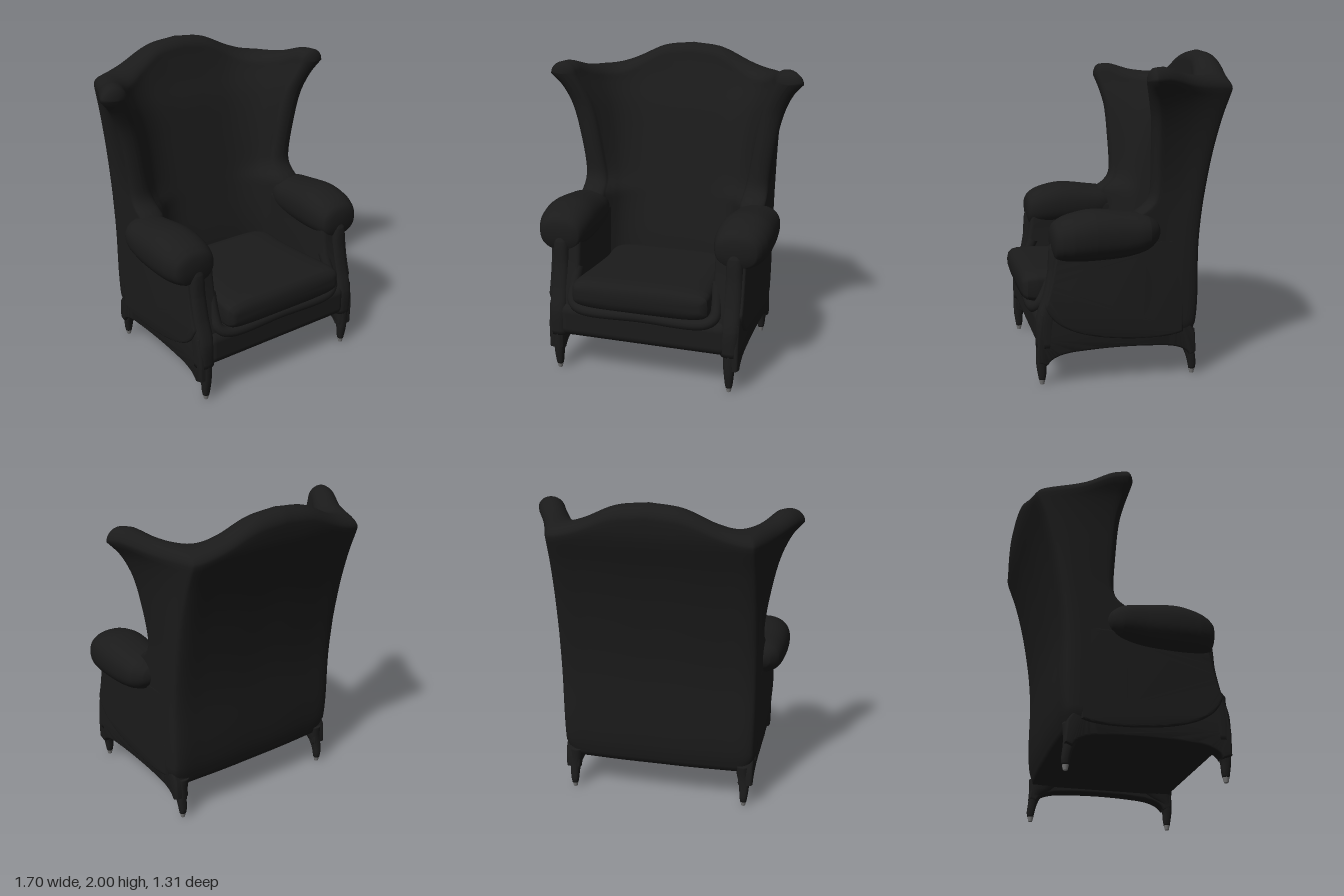
import * as THREE from 'three';
import { toCreasedNormals } from 'three/addons/utils/BufferGeometryUtils.js';
import { RoundedBoxGeometry } from 'three/addons/geometries/RoundedBoxGeometry.js';

// Smooth interpolation through a table of [key, value] rows, clamped at the ends
function curve(rows, k) {
  const n = rows.length - 1;
  if (k <= rows[0][0]) return rows[0][1];
  if (k >= rows[n][0]) return rows[n][1];
  let i = 0;
  while (k > rows[i + 1][0]) i++;
  const slope = (j) => {
    const a = rows[Math.max(j - 1, 0)], b = rows[Math.min(j + 1, n)];
    return (b[1] - a[1]) / (b[0] - a[0]);
  };
  const [k0, v0] = rows[i], [k1, v1] = rows[i + 1], d = k1 - k0, t = (k - k0) / d;
  const t2 = t * t, t3 = t2 * t;
  return (2 * t3 - 3 * t2 + 1) * v0 + (t3 - 2 * t2 + t) * d * slope(i)
    + (3 * t2 - 2 * t3) * v1 + (t3 - t2) * d * slope(i + 1);
}

// Skin over closed rings of [x, y, z], optionally capped, always facing outward
function loft(rings, capped = true) {
  const n = rings[0].length, pos = rings.flat(2), idx = [];
  for (let r = 0; r < rings.length - 1; r++) {
    for (let i = 0; i < n; i++) {
      const a = r * n + i, b = r * n + (i + 1) % n;
      idx.push(a, b, b + n, a, b + n, a + n);
    }
  }
  if (capped) {
    [0, rings.length - 1].forEach((r) => {
      const c = pos.length / 3;
      for (let k = 0; k < 3; k++) pos.push(rings[r].reduce((s, p) => s + p[k], 0) / n);
      for (let i = 0; i < n; i++) {
        const a = r * n + i, b = r * n + (i + 1) % n;
        if (r) idx.push(a, b, c); else idx.push(b, a, c);
      }
    });
  }
  const v = (i) => new THREE.Vector3(pos[i * 3], pos[i * 3 + 1], pos[i * 3 + 2]);
  let volume = 0;
  for (let i = 0; i < idx.length; i += 3) volume += v(idx[i]).dot(v(idx[i + 1]).cross(v(idx[i + 2])));
  if (volume < 0) idx.reverse();
  const g = new THREE.BufferGeometry();
  g.setAttribute('position', new THREE.Float32BufferAttribute(pos, 3));
  g.setIndex(idx);
  g.computeVertexNormals();
  return g;
}

// Rows [station, centreA, centreB, radiusA, radiusB] resampled into superellipse rings
function tube(rows, power, place, steps = 24) {
  const rings = [], first = rows[0][0], last = rows[rows.length - 1][0];
  const stations = new Set(rows.map((r) => r[0]));
  for (let i = 0; i <= steps; i++) stations.add(first + (last - first) * i / steps);
  const at = (s, c) => curve(rows.map((r) => [r[0], r[c]]), s);
  for (const s of [...stations].sort((a, b) => a - b)) {
    const ring = [];
    for (let i = 0; i < 40; i++) {
      const t = i / 40 * Math.PI * 2, c = Math.cos(t), q = Math.sin(t);
      ring.push(place(s,
        at(s, 1) + at(s, 3) * Math.sign(c) * Math.abs(c) ** (2 / power),
        at(s, 2) + at(s, 4) * Math.sign(q) * Math.abs(q) ** (2 / power)));
    }
    rings.push(ring);
  }
  return loft(rings);
}

// Winged back: a vertical section swept round a U-shaped plan
function backGeometry() {
  const rear = [[0.24, -0.395], [0.35, -0.42], [0.5, -0.43], [0.8, -0.43], [1, -0.445], [1.2, -0.475], [1.4, -0.515], [1.6, -0.57], [1.8, -0.64], [1.92, -0.658]];
  const inside = [[0.24, -0.14], [0.65, -0.16], [1, -0.235], [1.4, -0.33], [1.6, -0.38], [1.75, -0.435], [1.92, -0.485]];
  const front = [[0.24, 0], [1, 0], [1.03, -0.01], [1.06, -0.055], [1.1, -0.092], [1.16, -0.11], [1.4, -0.105], [1.6, -0.093], [1.7, -0.072], [1.82, -0.038]];
  const tipOut = [[0.24, 0.615], [0.28, 0.618], [0.34, 0.636], [1.05, 0.636], [1.2, 0.642], [1.4, 0.672], [1.6, 0.718], [1.74, 0.78], [1.82, 0.85]];
  const tipIn = [[0.24, 0.47], [1, 0.47], [1.2, 0.5], [1.6, 0.575], [1.82, 0.67]];
  const corner = [[0.24, 0.605], [0.28, 0.61], [0.34, 0.63], [1.9, 0.635]];
  const crest = [[0, 2], [0.167, 1.975], [0.333, 1.893], [0.48, 1.853], [0.7, 1.85], [0.83, 1.865], [0.94, 1.903], [1, 1.9]];
  const through = (xs, zs, a) => [xs, zs].map((v) => curve(v.map((q, i) => [i / 6, q]), a));
  const plan = (y, a) => {
    const zb = curve(rear, y), zi = curve(inside, y), zf = curve(front, y) - 0.045;
    const xo = curve(tipOut, y), xi = curve(tipIn, y), xc = curve(corner, y);
    const zc = zb + 0.068;
    const out = through([0, 0.21, 0.42, xc - 0.05, xc, (xc + xo) / 2, xo],
      [zb, zb, zb + 0.007, zb + 0.018, zc, (zc + zf) / 2, zf], a);
    const inn = through([0, 0.14, 0.26, 0.35, 0.415, 0.46, 0.5].map((x) => x * xi / 0.5),
      [0, 0.005, 0.05, 0.2, 0.42, 0.7, 1].map((f) => zi + (zf - zi) * f), a);
    return [out, inn];
  };
  const section = (a, side, cap) => {
    const h = 0.08, bottom = 0.24, top = curve(crest, a) - h, ring = [];
    const shrink = Math.cos(cap), push = 0.045 * Math.sin(cap);
    const put = (y, lift, w) => {
      const [o, i] = plan(y, a);
      const f = w * shrink / 2;
      ring.push([side * ((o[0] + i[0]) / 2 + (o[0] - i[0]) * f), y + lift * shrink,
        (o[1] + i[1]) / 2 + (o[1] - i[1]) * f + push]);
    };
    const up = 48, arc = 14;
    for (let j = 0; j <= up; j++) put(bottom + (top - bottom) * j / up, 0, 1);
    for (let j = 1; j < arc; j++) put(top, h * Math.sin(j / arc * Math.PI), Math.cos(j / arc * Math.PI));
    for (let j = up; j >= 0; j--) put(bottom + (top - bottom) * j / up, 0, -1);
    return ring;
  };
  const rings = [], n = 40;
  for (let j = 6; j > 0; j--) rings.push(section(1, -1, j / 12 * Math.PI));
  for (let j = -n; j <= n; j++) rings.push(section(Math.abs(j) / n, j < 0 ? -1 : 1, 0));
  for (let j = 1; j <= 6; j++) rings.push(section(1, 1, j / 12 * Math.PI));
  return loft(rings, false);
}

// Side-on outline (z, y) extruded across x with a soft edge
function sidePlate(shape, x0, x1, bevel) {
  const g = new THREE.ExtrudeGeometry(shape, {
    depth: x1 - x0 - 2 * bevel, bevelEnabled: true, bevelSize: bevel, bevelThickness: bevel,
    bevelOffset: -bevel, bevelSegments: 4, curveSegments: 20,
  });
  g.rotateY(-Math.PI / 2).translate(x1 - bevel, 0, 0);
  return toCreasedNormals(g, 0.7);
}

export function createModel() {
  const chair = new THREE.Group();
  chair.name = 'wingChair';
  const leather = new THREE.MeshStandardMaterial({ color: 0x1b1b1b });
  leather.name = 'black leather';
  const metal = new THREE.MeshStandardMaterial({ color: 0x777777 });
  metal.name = 'grey glide';
  const add = (name, geometry, material = leather) => {
    const m = new THREE.Mesh(geometry, material);
    m.name = name;
    chair.add(m);
    return m;
  };
  const alongY = (side) => (s, x, z) => [side * x, s, z];
  const alongZ = (side) => (s, x, y) => [side * x, y, s];

  add('wingBack', backGeometry());

  // Seat
  add('seatBase', new RoundedBoxGeometry(1.16, 0.21, 0.88, 4, 0.03)).position.set(0, 0.34, 0.07);
  add('frontRail', new RoundedBoxGeometry(1.12, 0.22, 0.22, 6, 0.06)).position.set(0, 0.345, 0.485);
  const lip = [[-0.46, 0.68, 0.46], [-0.47, 0.54, 0.52], [-0.465, 0.475, 0.555], [-0.41, 0.44, 0.58], [0, 0.435, 0.583],
    [0.41, 0.44, 0.58], [0.465, 0.475, 0.555], [0.47, 0.54, 0.52], [0.46, 0.68, 0.46]].map((p) => new THREE.Vector3(...p));
  add('seatLip', new THREE.TubeGeometry(new THREE.CatmullRomCurve3(lip), 60, 0.035, 12));
  add('seatCushion', tube([
    [-0.15, 0, 0.56, 0.3, 0.05], [-0.135, 0, 0.56, 0.38, 0.085], [-0.08, 0, 0.56, 0.42, 0.098], [0.1, 0, 0.56, 0.41, 0.1],
    [0.35, 0, 0.56, 0.425, 0.1], [0.56, 0, 0.56, 0.442, 0.1], [0.62, 0, 0.56, 0.438, 0.09], [0.645, 0, 0.56, 0.42, 0.07],
    [0.655, 0, 0.56, 0.39, 0.035]], 5, alongZ(1)));

  // Side outlines
  const panel = new THREE.Shape();
  panel.moveTo(0.575, 0.26);
  panel.bezierCurveTo(0.59, 0.45, 0.5, 0.6, 0.48, 0.8);
  panel.lineTo(0.46, 0.93);
  panel.lineTo(-0.28, 0.93);
  panel.lineTo(-0.28, 0.26);
  const pad = new THREE.Shape();
  pad.moveTo(0.47, 0.87);
  pad.quadraticCurveTo(0.49, 0.65, 0.545, 0.5);
  pad.bezierCurveTo(0.5, 0.33, 0.25, 0.28, 0, 0.265);
  pad.bezierCurveTo(-0.15, 0.26, -0.25, 0.265, -0.31, 0.29);
  pad.lineTo(-0.31, 0.87);
  const rail = new THREE.Shape();
  rail.moveTo(0.57, 0.45);
  rail.lineTo(0.59, 0.3);
  rail.lineTo(0.588, 0.15);
  rail.lineTo(0.53, 0.13);
  rail.quadraticCurveTo(0.5, 0.198, 0.32, 0.205);
  rail.quadraticCurveTo(0.08, 0.222, -0.16, 0.205);
  rail.quadraticCurveTo(-0.33, 0.198, -0.355, 0.13);
  rail.lineTo(-0.398, 0.15);
  rail.lineTo(-0.39, 0.28);
  rail.lineTo(-0.28, 0.45);

  for (const side of [1, -1]) {
    const word = side > 0 ? 'left' : 'right';
    const plate = (shape, x0, x1, b) => (side > 0 ? sidePlate(shape, x0, x1, b) : sidePlate(shape, -x1, -x0, b));
    add(word + 'SidePanel', plate(panel, 0.44, 0.622, 0.025));
    add(word + 'SidePad', plate(pad, 0.58, 0.637, 0.015));
    add(word + 'SideRail', plate(rail, 0.53, 0.624, 0.015));

    // Rolled arm
    add(word + 'Arm', tube([
      [-0.16, 0.59, 0.925, 0.04, 0.025], [-0.14, 0.59, 0.925, 0.085, 0.06], [-0.08, 0.59, 0.92, 0.14, 0.105],
      [0.05, 0.59, 0.912, 0.162, 0.135], [0.25, 0.587, 0.914, 0.175, 0.152], [0.38, 0.583, 0.903, 0.168, 0.14],
      [0.45, 0.578, 0.893, 0.148, 0.122], [0.485, 0.575, 0.888, 0.125, 0.098], [0.5, 0.575, 0.9, 0.085, 0.06]], 2.3, alongZ(side)));

    // Front post under the arm
    add(word + 'ArmPost', tube([
      [0.24, 0.565, 0.535, 0.06, 0.06], [0.4, 0.565, 0.53, 0.062, 0.065], [0.55, 0.567, 0.49, 0.06, 0.06],
      [0.7, 0.567, 0.46, 0.056, 0.06], [0.84, 0.567, 0.455, 0.05, 0.055], [0.9, 0.567, 0.45, 0.03, 0.035]], 2.6, alongY(side)));

    // Curved legs that spread into the side rail
    add(word + 'FrontLeg', tube([
      [0.03, 0.565, 0.56, 0.02, 0.02], [0.06, 0.565, 0.56, 0.025, 0.025], [0.12, 0.565, 0.562, 0.031, 0.032],
      [0.17, 0.565, 0.55, 0.036, 0.046], [0.21, 0.565, 0.51, 0.045, 0.086], [0.26, 0.565, 0.47, 0.055, 0.125]], 2.4, alongY(side)));
    add(word + 'BackLeg', tube([
      [0.03, 0.57, -0.385, 0.02, 0.02], [0.06, 0.57, -0.385, 0.025, 0.025], [0.12, 0.57, -0.374, 0.031, 0.03],
      [0.17, 0.565, -0.358, 0.036, 0.042], [0.21, 0.56, -0.325, 0.045, 0.075], [0.28, 0.555, -0.3, 0.055, 0.105]], 2.4, alongY(side)));
    for (const z of [0.56, -0.385]) {
      add(word + 'Glide', new THREE.CylinderGeometry(0.02, 0.013, 0.03, 20), metal)
        .position.set(side * (z > 0 ? 0.565 : 0.57), 0.015, z);
    }
  }
  return chair;
}
